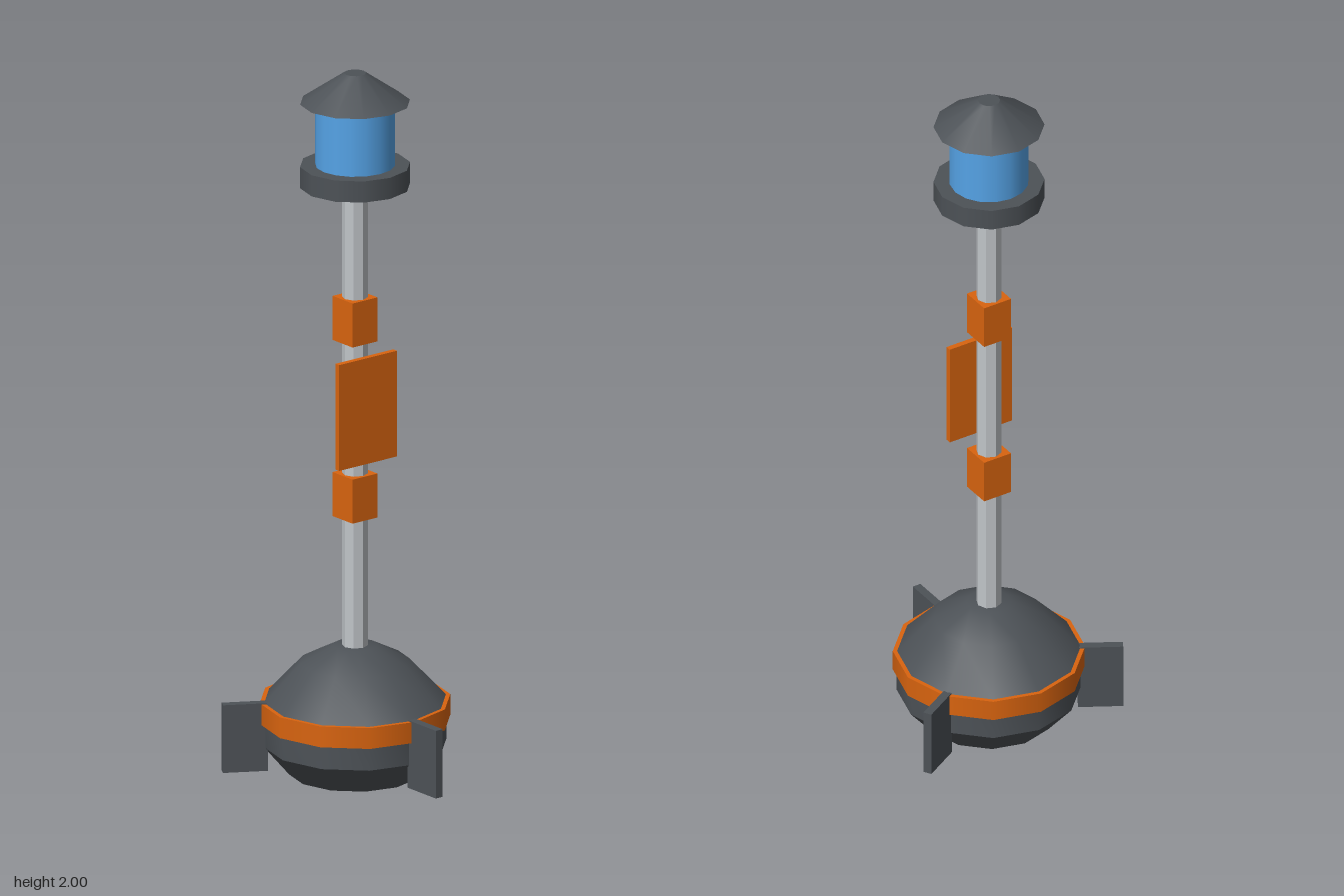
import * as THREE from 'three';
import { toCreasedNormals } from 'three/addons/utils/BufferGeometryUtils.js';

const AXIS_X = -0.052; // the mast stands slightly off the overall centre

export function createModel() {
  const model = new THREE.Group();
  model.name = 'buoy';
  const mat = (name, color) => {
    const m = new THREE.MeshStandardMaterial({ color });
    m.name = name;
    return m;
  };
  const dark = mat('darkGrey', 0x4d5257);
  const orange = mat('orange', 0xd9640f);
  const blue = mat('lampBlue', 0x55a3e6);
  const steel = mat('lightSteel', 0xc0c4c8);

  const add = (name, geometry, material, x = AXIS_X, y = 0, z = 0) => {
    const mesh = new THREE.Mesh(geometry, material);
    mesh.name = name;
    mesh.position.set(x, y, z);
    model.add(mesh);
    return mesh;
  };
  // Upright cylinder or cone between two heights
  const drum = (name, rTop, rBottom, y0, y1, sides, material) =>
    add(name, new THREE.CylinderGeometry(rTop, rBottom, y1 - y0, sides), material, AXIS_X, (y0 + y1) / 2);
  const box = (name, w, y0, y1, d, material, x = AXIS_X) =>
    add(name, new THREE.BoxGeometry(w, y1 - y0, d), material, x, (y0 + y1) / 2);

  // Twelve-sided float
  const profile = [[0, 0.005], [0.18, 0.018], [0.25, 0.1], [0.25, 0.222], [0.15, 0.33], [0.06, 0.377], [0, 0.377]]
    .map(([r, y]) => new THREE.Vector2(r, y));
  add('floatHull', toCreasedNormals(new THREE.LatheGeometry(profile, 12), 0.62), dark);
  drum('floatBand', 0.26, 0.26, 0.165, 0.224, 12, orange);

  // Three fins around the float
  for (let i = 0; i < 3; i++) {
    const a = (i * Math.PI * 2) / 3;
    const r = 0.301;
    const fin = add('fin' + (i + 1), new THREE.BoxGeometry(0.122, 0.192, 0.024), dark,
      AXIS_X + r * Math.cos(a), 0.131, -r * Math.sin(a));
    fin.rotation.y = a;
  }

  // Mast with two clamps and a marker panel
  const mast = new THREE.CylinderGeometry(0.035, 0.035, 1.34, 8).toNonIndexed();
  mast.computeVertexNormals();
  add('mast', mast, steel, AXIS_X, 1.03);
  box('lowerClamp', 0.086, 0.74, 0.865, 0.086, orange);
  box('upperClamp', 0.086, 1.24, 1.365, 0.086, orange);
  box('markerPanel', 0.016, 0.905, 1.205, 0.2, orange, -0.004);

  // Lantern
  drum('lanternPlatform', 0.15, 0.15, 1.68, 1.74, 12, dark);
  drum('lanternGlass', 0.108, 0.108, 1.74, 1.917, 16, blue);
  drum('lanternRoof', 0.03, 0.15, 1.917, 2.0, 12, dark);

  return model;
}
